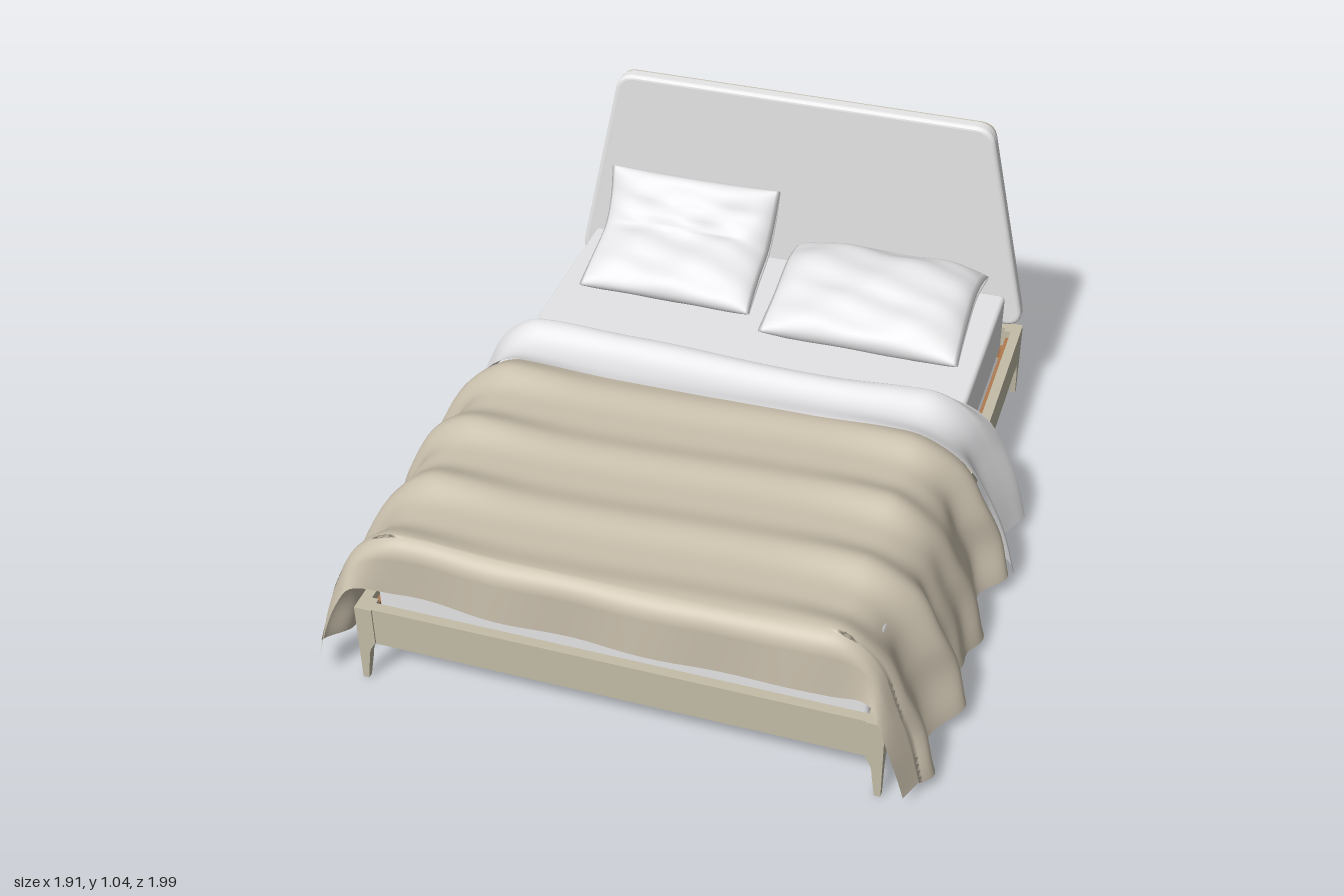
import * as THREE from 'three';
import { RoundedBoxGeometry } from 'three/addons/geometries/RoundedBoxGeometry.js';
import { ParametricGeometry } from 'three/addons/geometries/ParametricGeometry.js';

const mat = (name, color, side = THREE.FrontSide) => {
  const m = new THREE.MeshStandardMaterial({ color, side });
  m.name = name;
  return m;
};

export function createModel() {
  const frameMat = mat('painted frame', 0xc4bda8);
  const woodMat = mat('slat wood', 0xb07a50);
  const upholstery = mat('headboard fabric', 0xe8e8e8);
  const linen = mat('white linen', 0xeeeef0, THREE.DoubleSide);
  const blanketMat = mat('taupe blanket', 0xcac0ad, THREE.DoubleSide);

  const model = new THREE.Group();
  model.name = 'bed';
  const CX = 0.01; // centre line of the frame

  const add = (name, geo, material, x = 0, y = 0, z = 0) => {
    const m = new THREE.Mesh(geo, material);
    m.name = name;
    m.position.set(x, y, z);
    model.add(m);
    return m;
  };
  // box given by its limits
  const box = (name, material, x0, x1, y0, y1, z0, z1) =>
    add(name, new THREE.BoxGeometry(x1 - x0, y1 - y0, z1 - z0), material,
      (x0 + x1) / 2, (y0 + y1) / 2, (z0 + z1) / 2);

  // frame rails
  box('footRail', frameMat, CX - 0.72, CX + 0.72, 0.14, 0.27, 0.915, 0.945);
  box('headRail', frameMat, CX - 0.72, CX + 0.72, 0.14, 0.27, -0.99, -0.965);
  for (const s of [-1, 1]) {
    const rail = CX + s * 0.754, ledge = CX + s * 0.731;
    box('sideRail', frameMat, rail - 0.016, rail + 0.016, 0.14, 0.27, -0.96, 0.91);
    box('sideLedger', woodMat, ledge - 0.008, ledge + 0.008, 0.155, 0.245, -0.96, 0.91);
  }

  // legs: the outer corner stays straight, the inner faces sweep in to a slim foot
  const legGeo = new THREE.BoxGeometry(1, 0.27, 1, 1, 24, 1).translate(0.5, 0.135, 0.5);
  const lp = legGeo.attributes.position;
  for (let i = 0; i < lp.count; i++) {
    const y = lp.getY(i);
    const k = THREE.MathUtils.clamp((y - 0.08) / 0.065, 0, 1);
    const w = 0.018 + 0.04 * Math.min(y, 0.08) / 0.3 + 0.024 * k * k;
    lp.setX(i, lp.getX(i) * w);
    lp.setZ(i, lp.getZ(i) * w);
  }
  legGeo.computeVertexNormals();
  for (const s of [-1, 1]) {
    add('headLeg', legGeo, frameMat, CX + s * 0.77, 0, -1).scale.set(-s, 1, 1);
    add('footLeg', legGeo, frameMat, CX + s * 0.77, 0, 0.95).scale.set(-s, 1, -1);
  }

  // slatted base: beams across, slats lengthwise
  for (const z of [-0.95, -0.32, 0.3, 0.9])
    box('crossBeam', woodMat, CX - 0.72, CX + 0.72, 0.165, 0.2, z - 0.013, z + 0.013);
  for (let i = 0; i < 12; i++) {
    const x = CX - 0.66 + i * 0.12;
    box('slat', woodMat, x - 0.034, x + 0.034, 0.2, 0.215, -0.96, 0.91);
  }

  // mattress
  add('mattress', new RoundedBoxGeometry(1.43, 0.215, 1.81, 3, 0.015), linen, CX, 0.3325, -0.0025);

  // headboard: rounded trapezoid, padded in front with a flat back panel
  const trapezoid = (inset) => {
    const b = 0.778 - inset, t = 0.625 - inset, y0 = 0.32 + inset, y1 = 1.04 - inset;
    const c = [[-b, y0], [b, y0], [t, y1], [-t, y1]].map(p => new THREE.Vector2(...p));
    const shape = new THREE.Shape();
    c.forEach((p, i) => {
      const prev = c[(i + 3) % 4], next = c[(i + 1) % 4];
      const a = p.clone().add(prev.clone().sub(p).setLength(0.045));
      const e = p.clone().add(next.clone().sub(p).setLength(0.045));
      if (i) shape.lineTo(a.x, a.y); else shape.moveTo(a.x, a.y);
      shape.quadraticCurveTo(p.x, p.y, e.x, e.y);
    });
    shape.closePath();
    return shape;
  };
  add('headboard', new THREE.ExtrudeGeometry(trapezoid(0.014), {
    depth: 0.026, bevelEnabled: true, bevelSize: 0.014, bevelThickness: 0.014, bevelSegments: 4, curveSegments: 8,
  }), upholstery, CX, 0, -0.95);
  add('headboardBack', new THREE.ExtrudeGeometry(trapezoid(0.006), {
    depth: 0.008, bevelEnabled: false, curveSegments: 8,
  }), frameMat, CX, 0, -0.968);
  for (const x of [-0.61, 0, 0.61])
    add('headboardPost', new RoundedBoxGeometry(0.034, 0.71, 0.034, 2, 0.008), frameMat, CX + x, 0.535, -0.983);

  // bedding drape: half cross-section from the centre down to the side hem
  const half = new THREE.SplineCurve([[0, 0.505], [0.3, 0.507], [0.55, 0.507], [0.67, 0.49], [0.76, 0.42],
    [0.82, 0.3], [0.865, 0.18], [0.9, 0.05]].map(p => new THREE.Vector2(...p)));
  const { smoothstep } = THREE.MathUtils;
  const fold = (z) => Math.pow(0.5 + 0.5 * Math.cos((z - 0.33) * Math.PI * 2 / 0.28), 2);
  // a point on the draped cloth; s runs across (-1..1)
  const drape = (s, z, lift, out) => {
    const side = Math.sign(s) || 1;
    const p = half.getPointAt(Math.min(Math.abs(s), 1));
    const f = smoothstep(p.x, 0.62, 0.88);
    const wave = 0.05 * (fold(z + side * 0.03 * f) - 0.3) + 0.012 * Math.sin(z * 31 + side);
    const x = side * (p.x + lift * f + f * (out + wave - 0.035 * smoothstep(z, 0.65, 0.85)));
    const top = 0.5 + 0.5 * smoothstep(p.x, 0.3, 0.68);
    const y = p.y + lift + (1 - f) * (0.034 * top * fold(z + 0.015 * Math.sin(s * 5)) - 0.008)
      + f * 0.014 * Math.sin(z * 11 + side * 2);
    return { x, y, f, side };
  };

  // blanket, hanging over the foot end
  add('blanket', new ParametricGeometry((u, v, target) => {
    const s = u * 2 - 1, hang = 0.2;
    if (v < hang) {
      const k = 1 - v / hang; // 1 at the front hem
      const d = drape(s, 0.9, 0, 0);
      const round = Math.sin(Math.min(k * 2, 1) * Math.PI / 2);
      const drop = (0.19 + 0.012 * s) * (0.25 * k + 0.75 * k * k) * (1 - d.f);
      target.set(d.x - d.side * d.f * 0.03 * k, d.y - drop,
        0.9 + 0.04 * round * (1 - d.f) + 0.08 * d.f * k + 0.006 * k * Math.sin(s * 17));
    } else {
      const z = 0.9 - (v - hang) / (1 - hang) * 0.91;
      const d = drape(s, z, 0, 0);
      target.set(d.x, d.y, z + 0.008 * d.f * Math.sin(d.y * 25));
    }
  }, 110, 120), blanketMat);

  // folded-back sheet
  add('foldedSheet', new ParametricGeometry((u, v, target) => {
    const s = u * 2 - 1;
    const z = 0.022 - v * 0.26;
    const d = drape(s, z, 0.009, s > 0 ? 0.005 : -0.03);
    const tuck = smoothstep(v, 0.75, 1) * (1 - d.f);
    const ridge = 0.03 * Math.exp(-Math.pow((z + 0.15) / 0.045, 2)) * (1 - d.f);
    const flare = s > 0 ? 0.035 : 0.005;
    target.set(d.x, d.y + ridge - 0.06 * tuck,
      z - v * (flare * d.f + 0.015 * smoothstep(Math.abs(s), 0.3, 0.6)) + 0.008 * v * Math.sin(s * 8));
  }, 110, 40), linen);

  // pillow: a puffed cushion whose depth follows a path of [z, y] points, front to back
  const pillow = (name, cx, halfWidth, thick, points, seed) => {
    const path = new THREE.SplineCurve(points.map(p => new THREE.Vector2(...p)));
    add(name, new ParametricGeometry((u, v, target) => {
      const e = u * 2 - 1, a = v * Math.PI * 2;
      const c = Math.cos(a), sn = Math.sin(a);
      const t = THREE.MathUtils.clamp((1 - c) / 2, 0, 1);
      const p = path.getPointAt(t), g = path.getTangentAt(t);
      const puff = Math.pow(Math.max(0, 1 - Math.pow(Math.abs(e), 4)), 0.6);
      const crease = 1 + 0.08 * Math.sin(e * 7 + c * 5 + seed) + 0.05 * Math.sin(e * 4 - c * 13 + seed * 2);
      const h = Math.sign(sn) * Math.pow(Math.abs(sn), 0.85) * (0.012 + thick * puff * crease);
      const pinch = 1 - 0.025 * (1 - c * c);
      const shrink = 0.01 * (1 - e * e) * c; // hems bow inwards between the corners
      target.set(cx + e * halfWidth * pinch, Math.max(0.442, p.y - g.x * h), p.x + g.y * h - shrink);
    }, 44, 64), linen);
  };
  pillow('flatPillow', 0.34, 0.325, 0.07,
    [[-0.43, 0.465], [-0.58, 0.495], [-0.74, 0.53], [-0.905, 0.5]], 1);
  pillow('leaningPillow', -0.33, 0.292, 0.06,
    [[-0.51, 0.465], [-0.64, 0.505], [-0.76, 0.545], [-0.83, 0.63], [-0.86, 0.725]], 3.4);

  return model;
}
